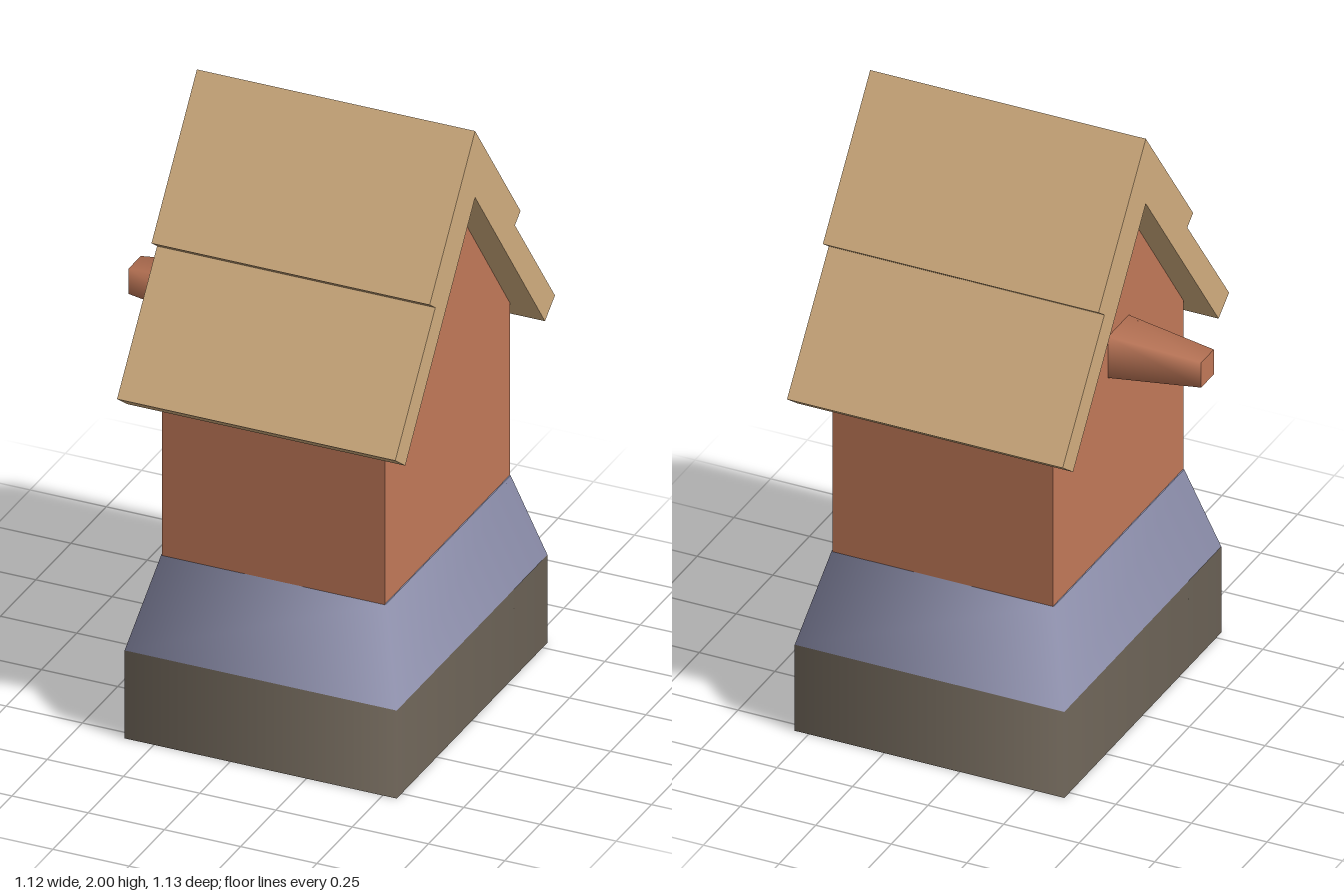
import * as THREE from 'three';

const material = (name, color) => {
  const m = new THREE.MeshStandardMaterial({ color });
  m.name = name;
  return m;
};

export function createModel() {
  const stone = material('stone', 0x756b5e);
  const slate = material('slate', 0x9092b0);
  const brick = material('brick', 0xc07858);
  const thatch = material('thatch', 0xd0ac7e);

  const model = new THREE.Group();
  model.name = 'house';
  const cx = 0.1; // the house sits off centre, balanced by the spout

  const add = (name, geometry, mat) => {
    const mesh = new THREE.Mesh(geometry, mat);
    mesh.name = name;
    model.add(mesh);
    return mesh;
  };

  // Four-sided frustum with softly shaded sides; top and bottom are half widths
  const frustum = (top, bottom, height) =>
    new THREE.CylinderGeometry(top * Math.SQRT2, bottom * Math.SQRT2, height, 4).rotateY(Math.PI / 4);

  // Profile mirrored about the ridge, extruded along x; points are [z, y] from the ridge down
  const gable = (half, width) => {
    const mirrored = half.filter(([z]) => z > 0).map(([z, y]) => [-z, y]).reverse();
    const ring = [...half, ...mirrored].map(([z, y]) => new THREE.Vector2(z, y));
    return new THREE.ExtrudeGeometry(new THREE.Shape(ring), { depth: width, bevelEnabled: false })
      .translate(0, 0, -width / 2)
      .rotateY(Math.PI / 2)
      .translate(cx, 0, 0);
  };

  // Foundation and sloping skirt
  add('foundation', frustum(1, 1, 0.298).scale(0.446, 1, 0.534).translate(cx, 0.149, 0), stone);
  add('skirt', frustum(0.826, 1, 0.297).scale(0.446, 1, 0.534).translate(cx, 0.4465, 0), slate);

  // Walls with pointed gables
  add('walls', gable([[0, 1.775], [0.443, 1.178], [0.443, 0.593]], 0.73), brick);

  // Stepped roof, open underneath
  add('roof', gable([
    [0, 2], [0.322, 1.57], [0.282, 1.541], [0.566, 1.163], [0.495, 1.111], [0, 1.775],
  ], 0.912), thatch);

  // Tapered square spout on the right wall
  add('spout', frustum(0.043, 0.071, 0.295).rotateZ(Math.PI / 2).translate(-0.4125, 1.257, 0), brick);

  return model;
}
